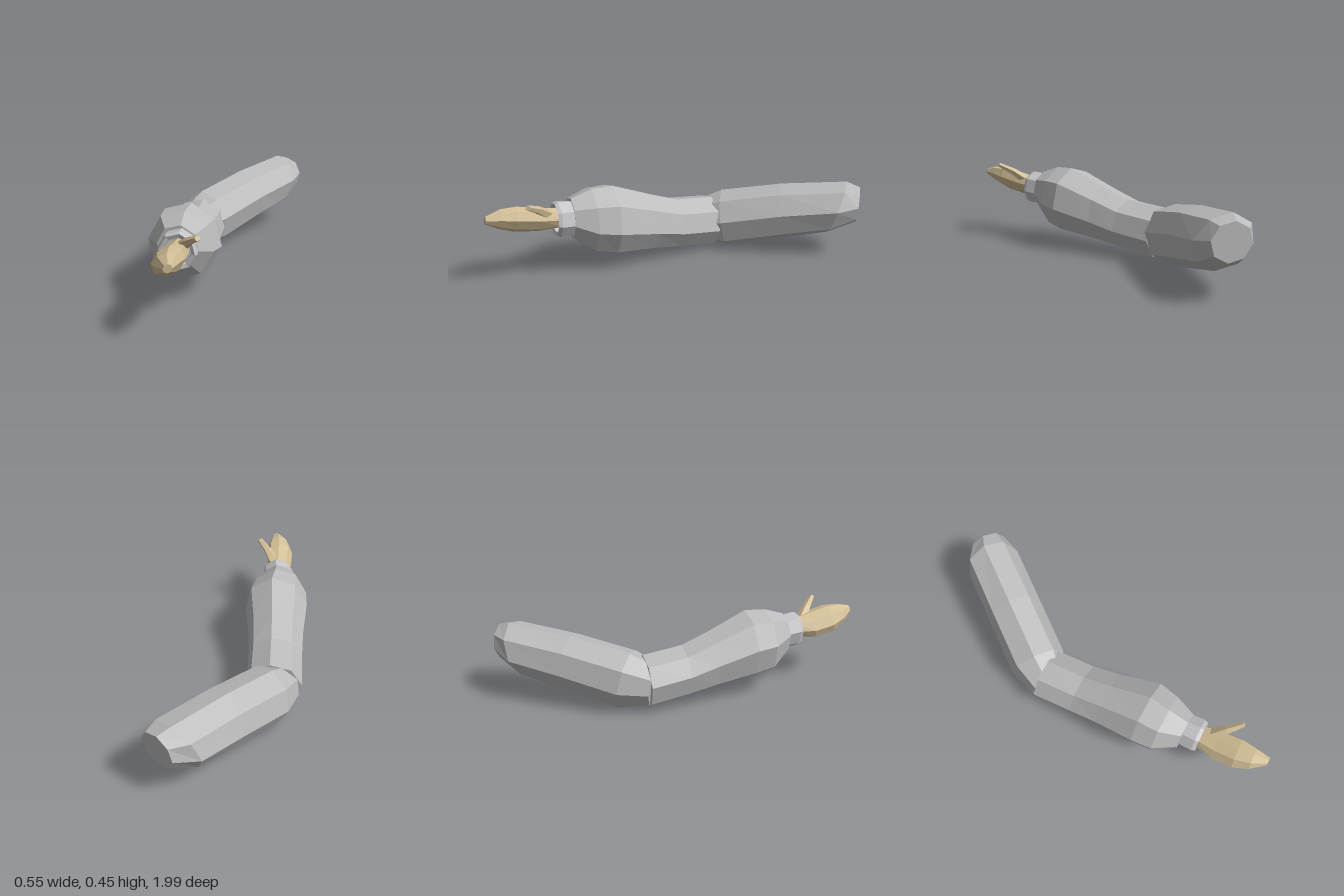
import * as THREE from 'three';

const sleeveGrey = new THREE.MeshStandardMaterial({ color: 0xbcbcbc });
sleeveGrey.name = 'sleeve grey';
const cuffGrey = new THREE.MeshStandardMaterial({ color: 0xc4c4c8 });
cuffGrey.name = 'cuff grey';
const skinTan = new THREE.MeshStandardMaterial({ color: 0xd2be96 });
skinTan.name = 'skin tan';

const UP = new THREE.Vector3(0, 1, 0);

// Faceted loft through elliptical rings, closed at both ends.
// ring = [centre, radius across, radius up, ring normal]; turn and tilt in degrees
function loft(name, material, rings, { sides = 8, turn = 0, tilt = 0 } = {}) {
  const rad = Math.PI / 180;
  const loops = rings.map(([c, a, b, n]) => {
    const normal = new THREE.Vector3(...n).normalize();
    const u = new THREE.Vector3().crossVectors(UP, normal).normalize();
    const v = new THREE.Vector3().crossVectors(normal, u);
    const ct = Math.cos(tilt * rad), st = Math.sin(tilt * rad);
    return Array.from({ length: sides }, (_, j) => {
      const t = turn * rad + (j / sides) * Math.PI * 2;
      const p = a * Math.cos(t), q = b * Math.sin(t);
      return new THREE.Vector3(...c)
        .addScaledVector(u, p * ct - q * st)
        .addScaledVector(v, p * st + q * ct);
    });
  });
  const pos = [];
  const tri = (...pts) => pts.forEach((p) => pos.push(p.x, p.y, p.z));
  const first = new THREE.Vector3(...rings[0][0]);
  const last = new THREE.Vector3(...rings[rings.length - 1][0]);
  for (let j = 0; j < sides; j++) {
    const k = (j + 1) % sides;
    for (let i = 0; i < loops.length - 1; i++) {
      const A = loops[i], B = loops[i + 1];
      tri(A[j], A[k], B[k]);
      tri(A[j], B[k], B[j]);
    }
    tri(first, loops[0][k], loops[0][j]);
    const end = loops[loops.length - 1];
    tri(last, end[j], end[k]);
  }
  const geo = new THREE.BufferGeometry();
  geo.setAttribute('position', new THREE.Float32BufferAttribute(pos, 3));
  geo.computeVertexNormals();
  const mesh = new THREE.Mesh(geo, material);
  mesh.name = name;
  return mesh;
}

export function createModel() {
  const group = new THREE.Group();
  group.name = 'arm';

  // Upper arm, elbow to rounded shoulder
  const along = [0.4, 0.16, -0.9];
  group.add(loft('upperArm', sleeveGrey, [
    [[-0.185, 0.14, -0.16], 0.105, 0.11, along],
    [[-0.13, 0.16, -0.3], 0.152, 0.16, along],
    [[0, 0.225, -0.6], 0.152, 0.153, along],
    [[0.115, 0.268, -0.86], 0.15, 0.15, [0.4, -0.3, -0.9]],
    [[0.172, 0.295, -0.955], 0.1, 0.095, [0.4, -0.05, -0.9]],
  ], { turn: -8 }));

  // Forearm, swelling before the wrist
  const fore = [0.2, 0.03, 1];
  group.add(loft('forearm', sleeveGrey, [
    [[-0.145, 0.152, -0.21], 0.147, 0.14, fore],
    [[-0.09, 0.175, 0], 0.147, 0.138, fore],
    [[-0.05, 0.212, 0.15], 0.153, 0.157, fore],
    [[0.01, 0.265, 0.36], 0.178, 0.19, fore],
    [[0.025, 0.275, 0.47], 0.16, 0.175, fore],
    [[0.055, 0.305, 0.575], 0.1, 0.108, fore],
  ], { turn: -8 }));

  // Cuff with a recessed rim
  const wrist = [0.24, 0.04, 1];
  group.add(loft('cuff', cuffGrey, [
    [[0.06, 0.305, 0.56], 0.088, 0.093, wrist],
    [[0.08, 0.312, 0.64], 0.092, 0.097, wrist],
    [[0.085, 0.313, 0.658], 0.084, 0.088, wrist],
    [[0.084, 0.313, 0.652], 0.066, 0.068, wrist],
    [[0.078, 0.311, 0.63], 0.064, 0.066, wrist],
  ], { turn: -8 }));

  // Mitten-like hand
  const point = [0.25, 0.15, 1];
  group.add(loft('hand', skinTan, [
    [[0.08, 0.318, 0.63], 0.056, 0.05, point],
    [[0.1, 0.326, 0.74], 0.08, 0.056, point],
    [[0.127, 0.348, 0.85], 0.083, 0.06, point],
    [[0.152, 0.365, 0.925], 0.06, 0.047, point],
    [[0.188, 0.377, 0.99], 0.022, 0.018, point],
  ], { turn: 10, tilt: 38 }));

  // Thumb
  const out = [0.7, 0.45, 0.55];
  group.add(loft('thumb', skinTan, [
    [[0.105, 0.345, 0.685], 0.04, 0.03, out],
    [[0.17, 0.402, 0.735], 0.025, 0.02, out],
    [[0.237, 0.443, 0.785], 0.015, 0.013, out],
  ], { sides: 5, turn: 20 }));

  // Stand on the ground, centred
  const box = new THREE.Box3().setFromObject(group);
  const mid = box.getCenter(new THREE.Vector3());
  group.children.forEach((m) => m.geometry.translate(-mid.x, -box.min.y, -mid.z));
  return group;
}
